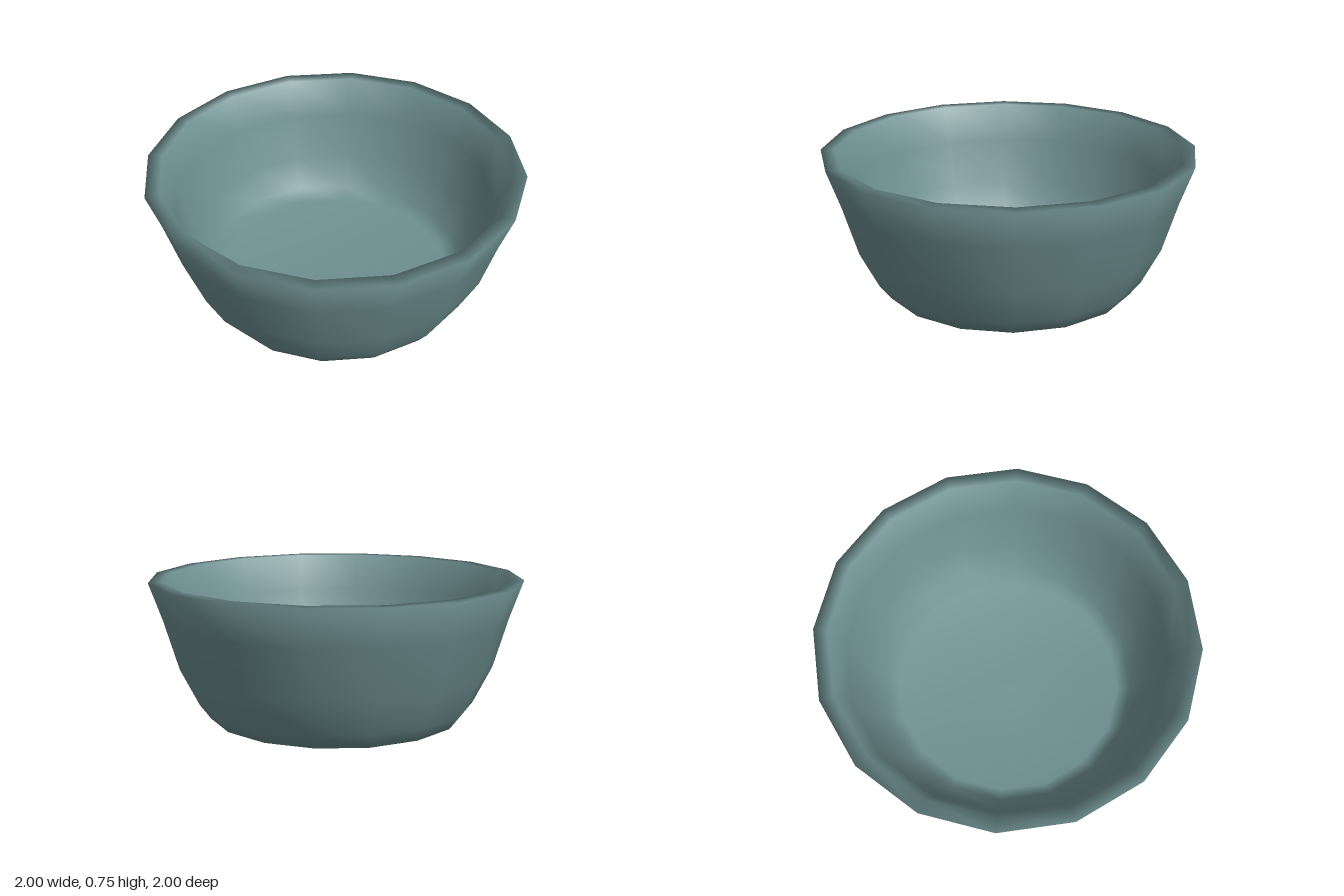
import * as THREE from 'three';
import { mergeVertices } from 'three/addons/utils/BufferGeometryUtils.js';

export function createModel() {
  const group = new THREE.Group();
  group.name = 'roundBowl';

  const glaze = new THREE.MeshStandardMaterial({ color: 0x6f9092 });
  glaze.name = 'greyTealGlaze';

  // Closed wall section: base, outer wall, flat rim, inner wall, floor
  const profile = [
    [0, 0], [0.69, 0], [0.75, 0.08], [0.85, 0.28], [0.93, 0.55], [1, 0.75],
    [0.925, 0.75], [0.86, 0.55], [0.79, 0.3], [0.7, 0.13], [0.63, 0.07], [0, 0.06],
  ].map(([r, y]) => new THREE.Vector2(r, y));

  // Sixteen sides, welded so shading flows smoothly over the rim and base
  const turned = new THREE.LatheGeometry(profile, 16);
  turned.deleteAttribute('uv');
  turned.deleteAttribute('normal');
  const geometry = mergeVertices(turned, 1e-4);
  geometry.computeVertexNormals();

  const bowl = new THREE.Mesh(geometry, glaze);
  bowl.name = 'bowl';
  group.add(bowl);
  return group;
}
